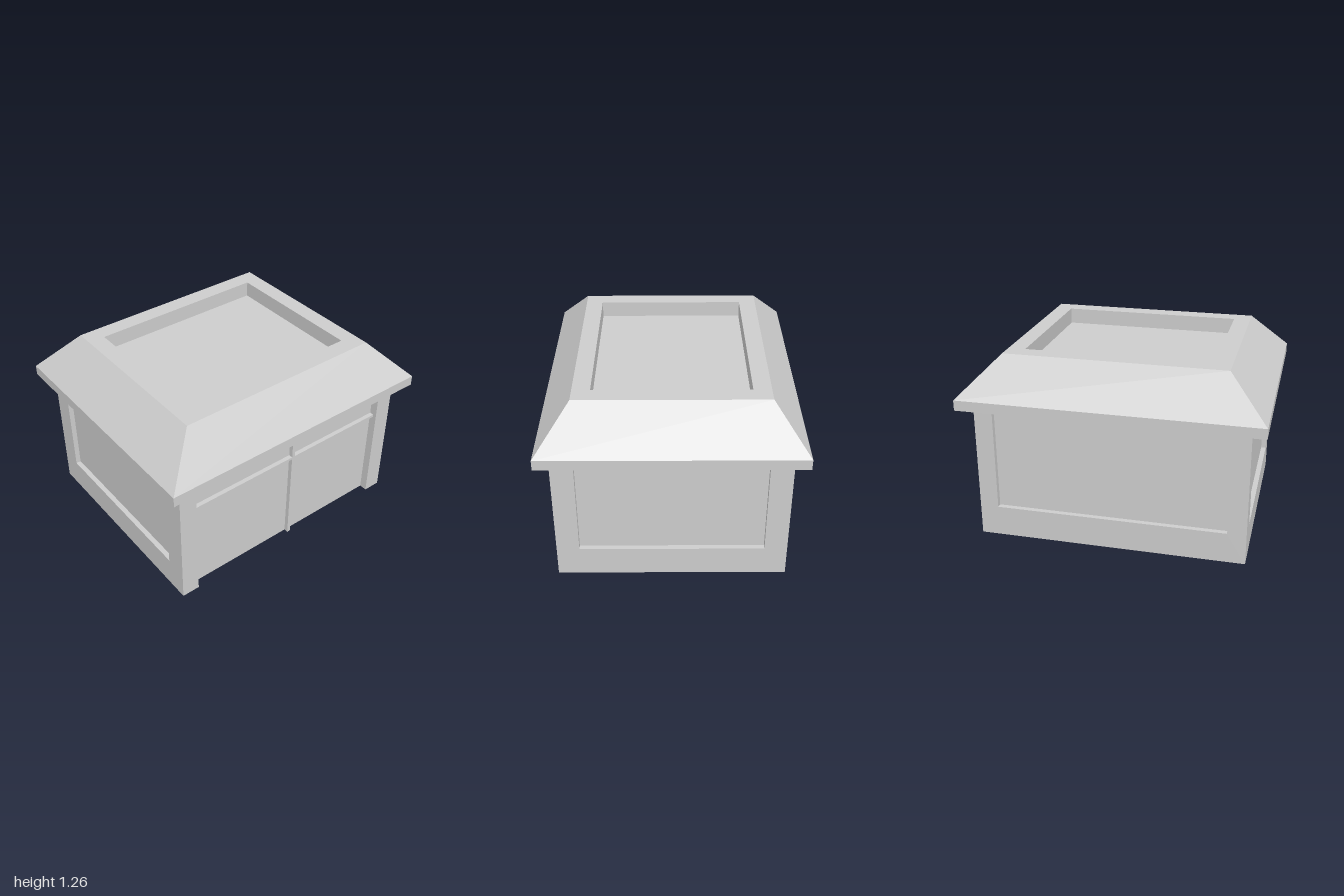
import * as THREE from 'three';

const grey = new THREE.MeshStandardMaterial({ color: 0xcccccc, side: THREE.DoubleSide, flatShading: true });
grey.name = 'plain grey';

const HX = 0.76, HZ = 0.905, WALL_TOP = 0.93;

function add(parent, name, geometry) {
  const mesh = new THREE.Mesh(geometry, grey);
  mesh.name = name;
  parent.add(mesh);
  return mesh;
}

// Flat sheet of the given size
function sheet(parent, name, w, h, x, y, z, rotX = 0, rotY = 0) {
  const m = add(parent, name, new THREE.PlaneGeometry(w, h));
  m.position.set(x, y, z);
  m.rotation.set(rotX, rotY, 0);
  return m;
}

// Thin wall facing +z with a recessed panel that is open at the top
function recessedWall(name, half, open, sill, depth) {
  const wall = new THREE.Group();
  wall.name = name;
  const pts = sill > 0
    ? [[-half, 0], [half, 0], [half, WALL_TOP], [open, WALL_TOP], [open, sill],
      [-open, sill], [-open, WALL_TOP], [-half, WALL_TOP]]
    : null;
  if (pts) {
    const shape = new THREE.Shape(pts.map(p => new THREE.Vector2(...p)));
    add(wall, 'wallFrame', new THREE.ShapeGeometry(shape));
    sheet(wall, 'sill', open * 2, depth, 0, sill, -depth / 2, -Math.PI / 2);
  }
  const h = WALL_TOP - sill, mid = sill + h / 2;
  for (const s of [-1, 1]) {
    if (!pts) sheet(wall, 'post', half - open, WALL_TOP, s * (half + open) / 2, WALL_TOP / 2, 0);
    sheet(wall, 'reveal', depth, h, s * open, mid, -depth / 2, 0, -s * Math.PI / 2);
  }
  sheet(wall, 'panel', open * 2, h, 0, mid, -depth);
  return wall;
}

// Skin between stacked rectangles given as [xMin, xMax, halfZ, y]
function loft(rings) {
  const corners = ([x0, x1, z, y]) => [[x1, y, z], [x1, y, -z], [x0, y, -z], [x0, y, z]];
  const pos = [];
  for (let r = 0; r + 1 < rings.length; r++) {
    const a = corners(rings[r]), b = corners(rings[r + 1]);
    for (let i = 0; i < 4; i++) {
      const j = (i + 1) % 4;
      pos.push(...a[i], ...a[j], ...b[j], ...a[i], ...b[j], ...b[i]);
    }
  }
  const g = new THREE.BufferGeometry();
  g.setAttribute('position', new THREE.Float32BufferAttribute(pos, 3));
  g.computeVertexNormals();
  return g;
}

export function createModel() {
  const model = new THREE.Group();
  model.name = 'kiosk';

  // Front, back and left walls with window panels
  const front = recessedWall('frontWall', HX, 0.61, 0.21, 0.035);
  front.position.z = HZ;
  const back = recessedWall('backWall', HX, 0.61, 0.21, 0.035);
  back.position.z = -HZ;
  back.rotation.y = Math.PI;
  const left = recessedWall('windowSideWall', HZ, 0.78, 0.21, 0.035);
  left.position.x = -HX;
  left.rotation.y = -Math.PI / 2;

  // Entrance side: full-height recess with crossing bars
  const doorDepth = 0.055, barDepth = 0.03;
  const entrance = recessedWall('entranceWall', HZ, 0.78, 0, doorDepth);
  entrance.position.x = HX;
  entrance.rotation.y = Math.PI / 2;
  const barZ = -doorDepth + barDepth / 2;
  add(entrance, 'verticalBar', new THREE.BoxGeometry(0.024, WALL_TOP, barDepth))
    .position.set(0.032, WALL_TOP / 2, barZ);
  add(entrance, 'horizontalBar', new THREE.BoxGeometry(1.56, 0.018, barDepth))
    .position.set(0, 0.692, barZ);
  model.add(front, back, left, entrance);

  // Roof: eaves, slopes, flat rim and sunken top
  const eaveInner = [-0.725, 0.705, 0.87, WALL_TOP];
  const eaveLow = [-0.845, 0.845, 1, WALL_TOP];
  const eaveHigh = [-0.845, 0.845, 1, 1];
  const ridge = [-0.622, 0.622, 0.738, 1.265];
  const rim = [-0.505, 0.505, 0.622, 1.265];
  const well = [-0.505, 0.505, 0.622, 1.155];
  add(model, 'eaves', loft([eaveInner, eaveLow, eaveHigh]));
  add(model, 'roofSlopes', loft([eaveHigh, ridge]));
  add(model, 'roofRim', loft([ridge, rim]));
  add(model, 'roofWell', loft([rim, well]));
  sheet(model, 'roofWellFloor', 1.01, 1.244, 0, 1.155, 0, -Math.PI / 2);

  return model;
}
